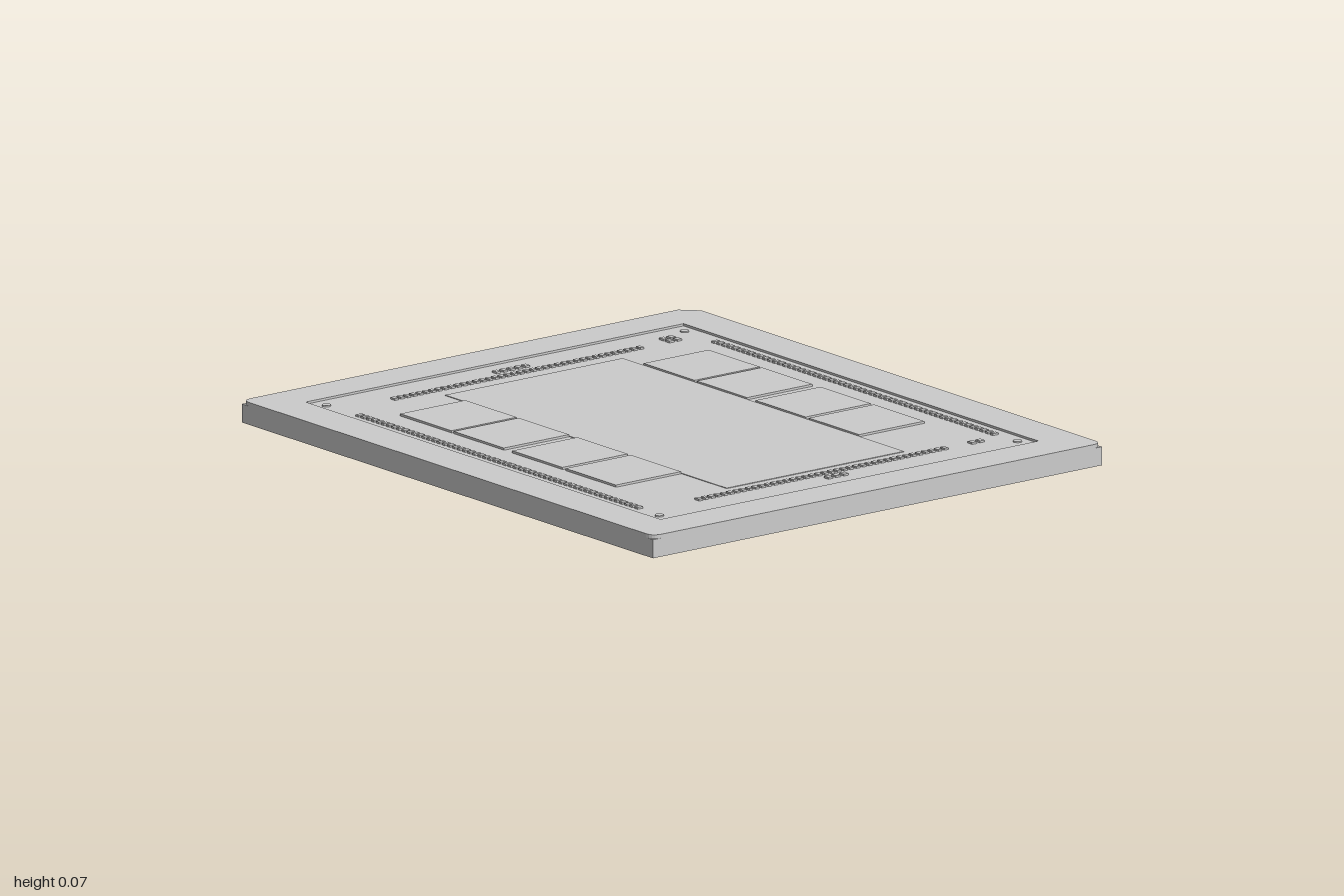
import * as THREE from 'three';

const W = 1, D = 0.865;            // half width and half depth
const BASE = 0.058, FLOOR = 0.063, TOP = 0.07;
const WX = 0.863, WZ = 0.728;      // half size of the window in the frame

export function createModel() {
  const model = new THREE.Group();
  const mat = new THREE.MeshStandardMaterial({ color: 0xcccccc, flatShading: true });

  const add = (name, geometry, x, y, z, parent = model) => {
    const mesh = new THREE.Mesh(geometry, mat);
    mesh.name = name;
    mesh.position.set(x, y, z);
    parent.add(mesh);
    return mesh;
  };
  // box given by its plan limits and its bottom and top
  const slab = (name, x0, x1, z0, z1, y0, y1, parent) =>
    add(name, new THREE.BoxGeometry(x1 - x0, y1 - y0, z1 - z0),
      (x0 + x1) / 2, (y0 + y1) / 2, (z0 + z1) / 2, parent);
  const group = (name) => {
    const g = new THREE.Group();
    g.name = name;
    model.add(g);
    return g;
  };

  // square-cornered base board and the raised floor inside the window
  slab('baseBoard', -W, W, -D, D, 0, BASE);
  slab('windowFloor', -WX, WX, -WZ, WZ, BASE, FLOOR);

  // stiffener frame: three rounded corners, one cut corner at the back
  const r = 0.035, cut = 0.05;
  const outline = new THREE.Shape();
  outline.moveTo(-W + r, -D);
  outline.lineTo(W - r, -D);
  outline.quadraticCurveTo(W, -D, W, -D + r);
  outline.lineTo(W, D - r);
  outline.quadraticCurveTo(W, D, W - r, D);
  outline.lineTo(-W + cut, D);
  outline.lineTo(-W, D - cut);
  outline.lineTo(-W, -D + r);
  outline.quadraticCurveTo(-W, -D, -W + r, -D);
  const hole = new THREE.Path();
  hole.moveTo(-WX, -WZ);
  hole.lineTo(-WX, WZ);
  hole.lineTo(WX, WZ);
  hole.lineTo(WX, -WZ);
  hole.closePath();
  outline.holes.push(hole);
  const frame = new THREE.ExtrudeGeometry(outline, { depth: TOP - BASE, bevelEnabled: false, curveSegments: 5 });
  frame.rotateX(-Math.PI / 2);
  add('stiffenerFrame', frame, 0, BASE, 0);

  // thin central die
  slab('centralDie', -0.68, 0.69, -0.348, 0.336, FLOOR, FLOOR + 0.002);

  // four memory blocks on each long side of the die
  const blocks = group('memoryBlocks');
  for (const [x0, x1] of [[-0.58, -0.33], [-0.32, -0.075], [-0.035, 0.21], [0.225, 0.47]]) {
    slab('memoryBlock', x0, x1, -0.6, -0.349, FLOOR, TOP, blocks);
    slab('memoryBlock', x0, x1, 0.337, 0.588, FLOOR, TOP, blocks);
  }

  // rows of small capacitors along the four sides
  const capRow = (parent, along, fixed, from, to, count) => {
    const pitch = (to - from) / count;
    for (let i = 0; i < count; i++) {
      const a = from + i * pitch, b = a + pitch * 0.6;
      const lo = fixed - 0.011, hi = fixed + 0.011;
      if (along === 'x') slab('capacitor', a, b, lo, hi, FLOOR, TOP - 0.001, parent);
      else slab('capacitor', lo, hi, a, b, FLOOR, TOP - 0.001, parent);
    }
  };
  const rows = group('capacitorRows');
  for (const s of [-1, 1]) {
    capRow(rows, 'x', s * 0.685, -0.66, 0.72, 56);
    capRow(rows, 'z', s * 0.74, -0.47, 0.5, 40);
  }

  // small clusters beside the side rows
  const clusters = group('capacitorClusters');
  capRow(clusters, 'z', -0.79, -0.07, 0.07, 5);
  capRow(clusters, 'z', 0.785, -0.05, 0.04, 3);
  for (const x of [-0.775, -0.745]) capRow(clusters, 'z', x, -0.62, -0.56, 2);
  capRow(clusters, 'z', 0.74, -0.61, -0.55, 2);

  // round alignment marks in the window corners
  const marks = group('alignmentMarks');
  const disc = new THREE.CylinderGeometry(0.014, 0.014, 0.004, 16);
  for (const x of [-0.81, 0.81]) for (const z of [-0.69, 0.69])
    add('alignmentMark', disc, x, FLOOR + 0.002, z, marks);

  return model;
}
